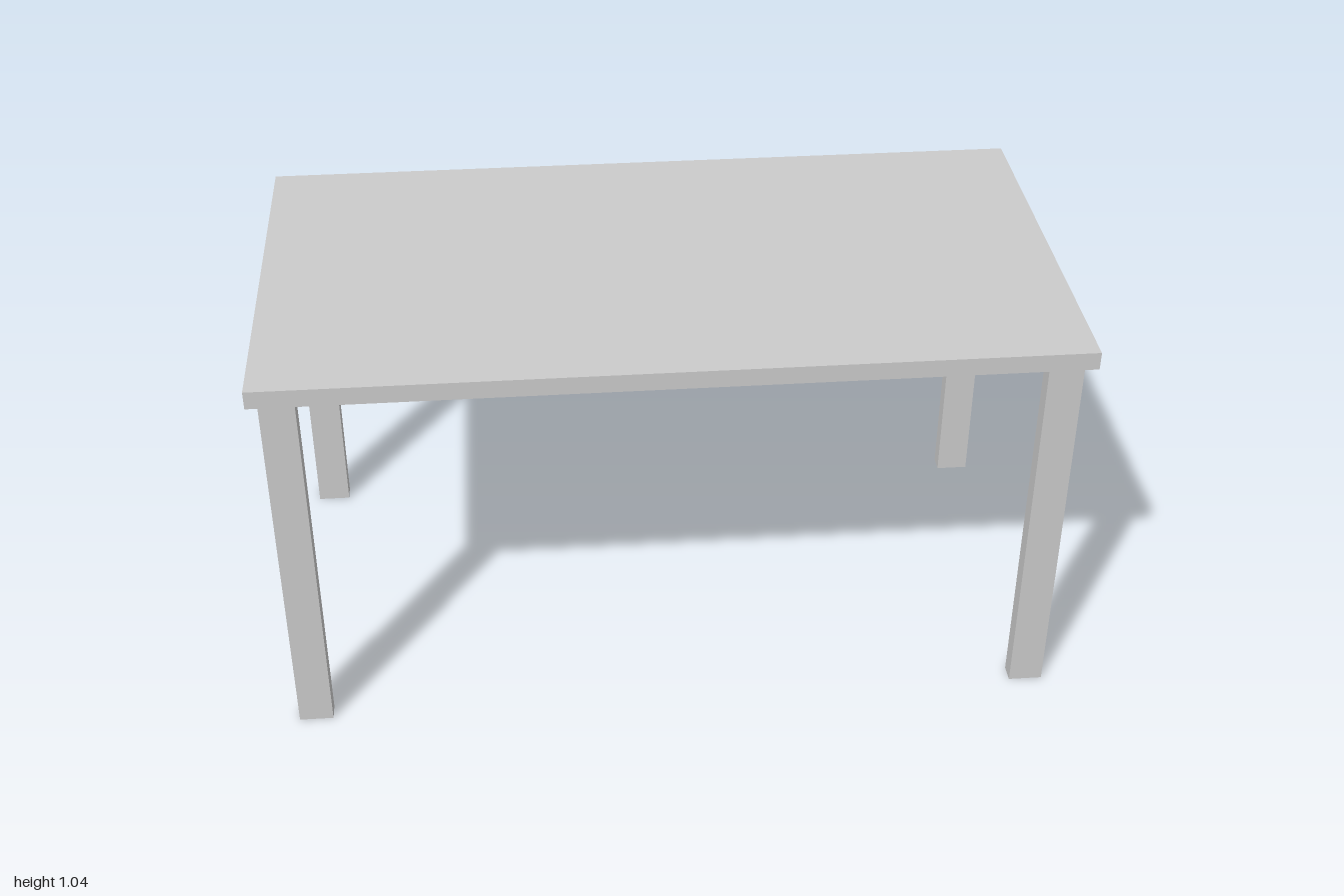
import * as THREE from 'three';

const TOP = { width: 2, thickness: 0.046, depth: 1.062 };
const LEG = { width: 0.086, height: 0.992, depth: 0.045, x: 0.932, z: 0.479 };

export function createModel() {
  const table = new THREE.Group();
  table.name = 'table';
  const material = new THREE.MeshStandardMaterial({ color: 0xcccccc });

  // Flat rectangular top resting on the legs
  const top = new THREE.Mesh(new THREE.BoxGeometry(TOP.width, TOP.thickness, TOP.depth), material);
  top.name = 'tabletop';
  top.position.y = LEG.height + TOP.thickness / 2;
  table.add(top);

  // Four rectangular legs, slightly inset from the corners
  const legGeometry = new THREE.BoxGeometry(LEG.width, LEG.height, LEG.depth);
  for (const [sideX, nameX] of [[1, 'Left'], [-1, 'Right']]) {
    for (const [sideZ, nameZ] of [[1, 'front'], [-1, 'back']]) {
      const leg = new THREE.Mesh(legGeometry, material);
      leg.name = `${nameZ}${nameX}Leg`;
      leg.position.set(sideX * LEG.x, LEG.height / 2, sideZ * LEG.z);
      table.add(leg);
    }
  }

  return table;
}
